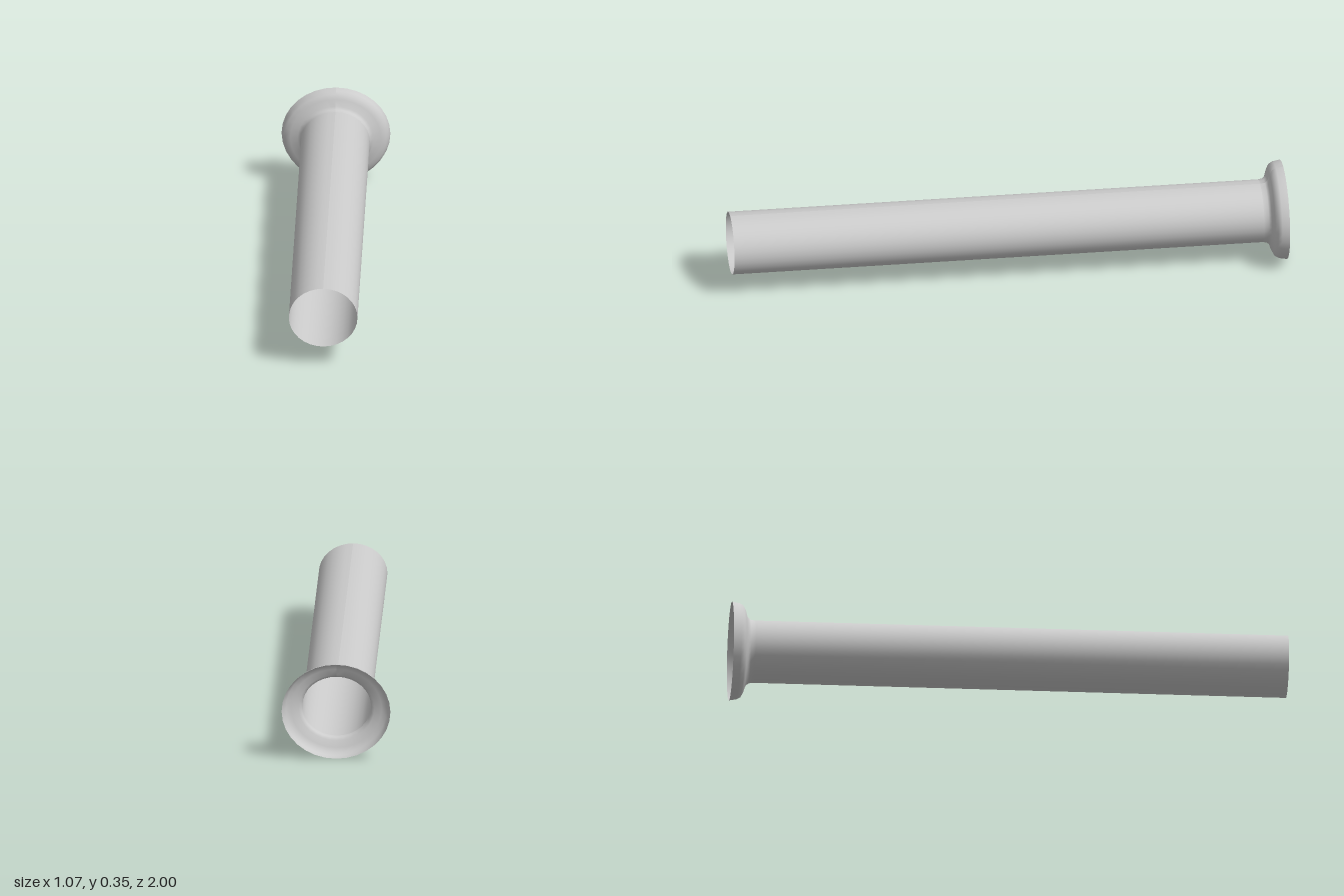
import * as THREE from 'three';

const LENGTH = 2.028;
const SIDES = 32;

// Open surface of revolution from [radius, distance from the front end] points,
// laid along -z and slightly flattened in height
function turned(name, points, material) {
  const geometry = new THREE.LatheGeometry(points.map(([r, d]) => new THREE.Vector2(r, d - LENGTH / 2)), SIDES);
  geometry.rotateX(-Math.PI / 2);
  geometry.scale(1, 0.89, 1);
  geometry.computeVertexNormals();
  const mesh = new THREE.Mesh(geometry, material);
  mesh.name = name;
  return mesh;
}

export function createModel() {
  const material = new THREE.MeshStandardMaterial({ color: 0xcccccc, side: THREE.DoubleSide });
  const model = new THREE.Group();
  model.name = 'flaredTube';

  // Long hollow tube, open at the front
  model.add(turned('tube', [[0.125, 0], [0.125, LENGTH - 0.085]], material));

  // Short bell-shaped mouth with a rounded lip at the back
  model.add(turned('flaredMouth', [
    [0.125, LENGTH - 0.085],
    [0.128, LENGTH - 0.068],
    [0.138, LENGTH - 0.058],
    [0.165, LENGTH - 0.05],
    [0.184, LENGTH - 0.041],
    [0.193, LENGTH - 0.027],
    [0.198, LENGTH],
  ], material));

  // Swing the tube so its mouth points to the back and +x
  model.rotation.y = -0.3884;
  model.position.set(-0.034, 0.1762, 0.0135);
  const root = new THREE.Group();
  root.add(model);
  return root;
}
